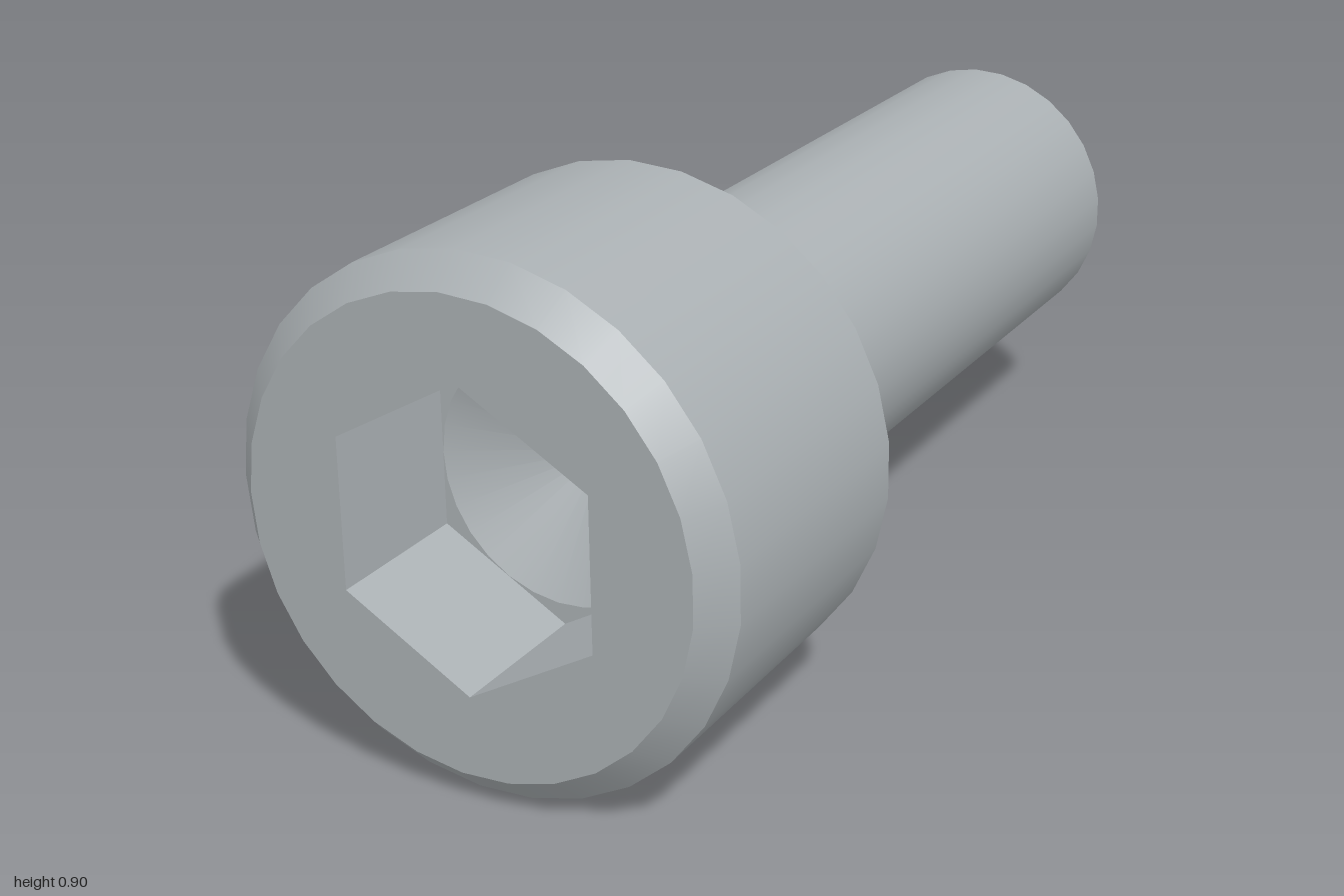
import * as THREE from 'three';

const SIDES = 29;
const HEAD_R = 0.452, FACE_R = 0.401, SHANK_R = 0.273, TIP_R = 0.209;
const HEX_FLAT = 0.226, HEX_R = HEX_FLAT / Math.cos(Math.PI / 6);
const UNDER_Z = 0.455, FLOOR_Z = 0.727, FILLET = 0.018;

// Band of revolution about z; points are [radius, z], smooth within the band
function band(points) {
  const profile = points.map(([r, z]) => new THREE.Vector2(r, z));
  return new THREE.LatheGeometry(profile, SIDES, -Math.PI / 2).rotateX(Math.PI / 2);
}

// Corner points of a regular polygon in the xy plane
function polygon(radius, sides, start) {
  return Array.from({ length: sides }, (_, i) => {
    const a = start + (i / sides) * Math.PI * 2;
    return new THREE.Vector2(radius * Math.cos(a), radius * Math.sin(a));
  });
}

// Flat plate facing +z with a hole through it
function ring(outer, inner, z) {
  const shape = new THREE.Shape(outer);
  shape.holes.push(new THREE.Path(inner));
  return new THREE.ShapeGeometry(shape).translate(0, 0, z);
}

export function createModel() {
  const steel = new THREE.MeshStandardMaterial({ color: 0xaab0b3 });
  steel.name = 'steel grey';

  const model = new THREE.Group();
  model.name = 'socketHeadScrew';
  const screw = new THREE.Group();
  screw.name = 'screw';
  screw.position.set(0.001, HEAD_R * Math.cos(Math.PI / SIDES / 2), 0);
  model.add(screw);

  const add = (name, geometry) => {
    const mesh = new THREE.Mesh(geometry, steel);
    mesh.name = name;
    screw.add(mesh);
  };

  // Shank with a chamfered tip and a small fillet under the head
  add('tipFace', band([[0, -1], [TIP_R, -1]]));
  add('tipChamfer', band([[TIP_R, -1], [SHANK_R, -0.938]]));
  const shank = [[SHANK_R, -0.938]];
  for (let i = 0; i <= 6; i++) {
    const a = Math.PI - (i / 6) * (Math.PI / 2);
    shank.push([SHANK_R + FILLET * (1 + Math.cos(a)), UNDER_Z - FILLET * (1 - Math.sin(a))]);
  }
  add('shank', band(shank));

  // Head
  add('headUnderside', band([[SHANK_R + FILLET, UNDER_Z], [HEAD_R, UNDER_Z]]));
  add('headSide', band([[HEAD_R, UNDER_Z], [HEAD_R, 0.95]]));
  add('headChamfer', band([[HEAD_R, 0.95], [FACE_R, 1]]));
  const hexagon = polygon(HEX_R, 6, Math.PI / 2);
  add('headFace', ring(polygon(FACE_R, SIDES, Math.PI), hexagon, 1));

  // Hexagonal socket: inward walls, floor corners and a conical bottom
  const depth = 1 - FLOOR_Z;
  const walls = new THREE.CylinderGeometry(HEX_R, HEX_R, depth, 6, 1, true)
    .rotateX(Math.PI / 2)
    .scale(-1, 1, 1)
    .translate(0, 0, FLOOR_Z + depth / 2)
    .toNonIndexed();
  walls.computeVertexNormals();
  add('socketWalls', walls);
  const coneR = HEX_FLAT - 0.0005;
  add('socketFloor', ring(hexagon, polygon(coneR, SIDES, Math.PI), FLOOR_Z));
  add('socketCone', band([[coneR, FLOOR_Z], [0, FLOOR_Z - coneR / Math.sqrt(3)]]));

  return model;
}
